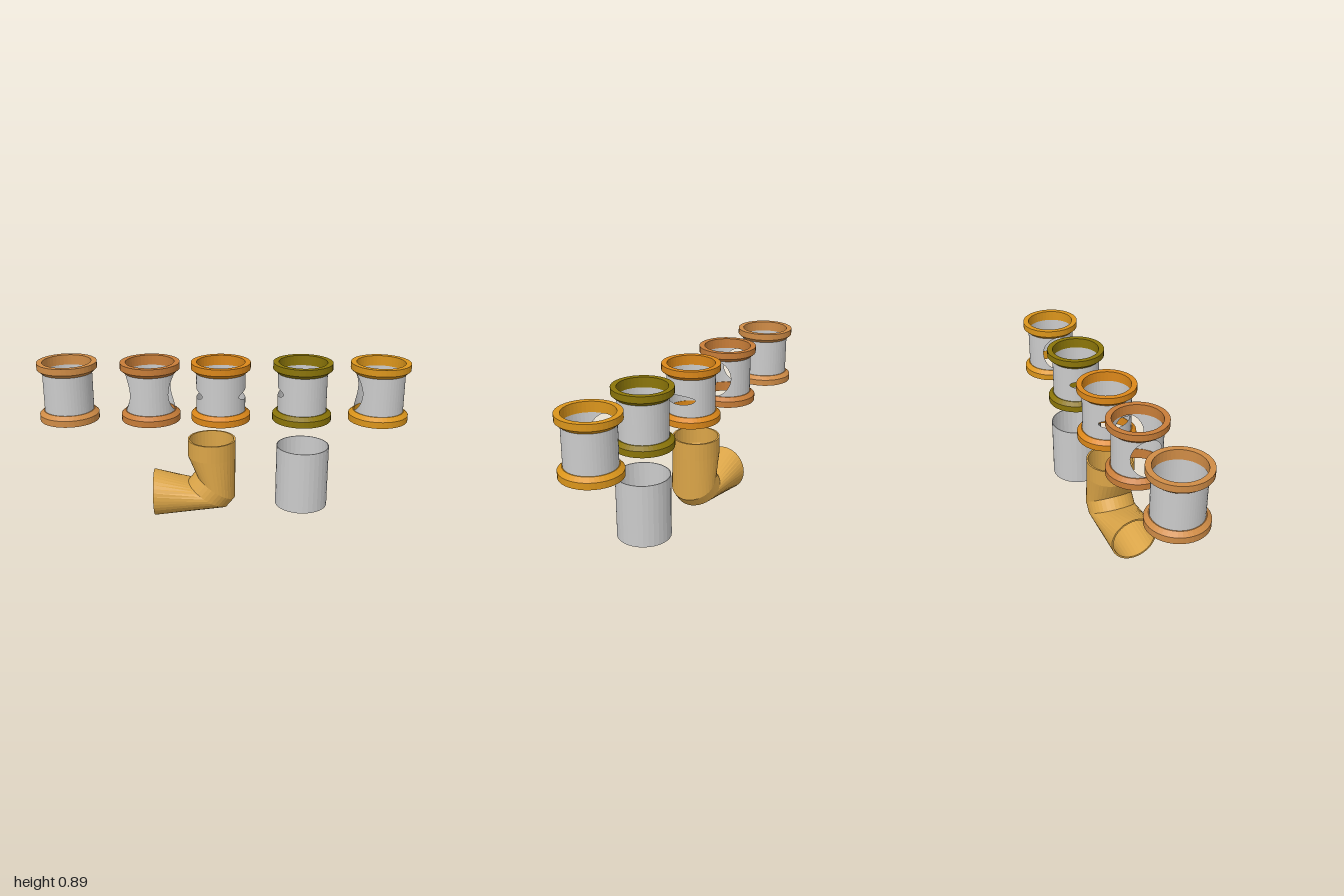
import * as THREE from 'three';

const mat = (color) => new THREE.MeshStandardMaterial({ color, flatShading: true, side: THREE.DoubleSide });
const grey = mat(0xcccccc);

function addMesh(parent, name, geometry, material) {
  const mesh = new THREE.Mesh(geometry, material);
  mesh.name = name;
  parent.add(mesh);
  return mesh;
}

// Closed [radius, height] outline turned around the y axis
function turned(profile, sides = 40) {
  const pts = [...profile, profile[0]].map(([r, y]) => new THREE.Vector2(r, y));
  return new THREE.LatheGeometry(pts, sides);
}

function meshFrom(positions, index) {
  const g = new THREE.BufferGeometry();
  g.setAttribute('position', new THREE.Float32BufferAttribute(positions, 3));
  g.setIndex(index);
  g.computeVertexNormals();
  return g;
}

// Thin tube with an optional oval opening on its +x and -x sides.
// An opening is { w: half width, h: half height, y: centre }.
function sleeve(r, y0, y1, openings) {
  const pos = [], idx = [], steps = 16;
  openings.forEach((o, side) => {
    const w = o ? o.w : r * 0.7, mid = o ? o.y : (y0 + y1) / 2;
    const edge = Math.asin(w / r);
    const cols = [];
    for (let i = 0; i <= steps; i++) {
      const u = (i / steps - 0.5) * Math.PI;
      cols.push([o ? Math.asin(w / r * Math.sin(u)) : edge * (2 * i / steps - 1), o ? o.h * Math.cos(u) : 0]);
    }
    // plain wall up to the front or back centre line
    for (let i = 1; i <= 6; i++) {
      const a = edge + (Math.PI / 2 - edge) * i / 6;
      cols.push([a, 0]);
      cols.unshift([-a, 0]);
    }
    cols.forEach(([a, h], i) => {
      const t = a + side * Math.PI, x = r * Math.cos(t), z = r * Math.sin(t);
      const n = pos.length / 3;
      for (const y of [y0, mid - h, mid + h, y1]) pos.push(x, y, z);
      if (i < cols.length - 1) {
        for (const k of [n, n + 2]) idx.push(k, k + 1, k + 4, k + 1, k + 5, k + 4);
      }
    });
  });
  return meshFrom(pos, idx);
}

// Hollow bent pipe lofted through circles: [centre x, centre y, tilt in degrees]
function bentPipe(stations, outer, inner, sides = 36) {
  const rings = [
    ...stations.map((s) => [...s, outer]),
    ...[...stations].reverse().map((s) => [...s, inner]),
  ];
  const pos = [], idx = [];
  rings.forEach(([cx, cy, deg, r], i) => {
    const tilt = THREE.MathUtils.degToRad(deg);
    const next = (i + 1) % rings.length;
    for (let j = 0; j < sides; j++) {
      const t = j / sides * Math.PI * 2, c = r * Math.cos(t);
      pos.push(cx + c * Math.cos(tilt), cy + c * Math.sin(tilt), r * Math.sin(t));
      const k = (j + 1) % sides;
      const a = i * sides + j, b = i * sides + k, d = next * sides + j, e = next * sides + k;
      idx.push(a, b, d, b, e, d);
    }
  });
  return meshFrom(pos, idx);
}

export function createModel() {
  const model = new THREE.Group();
  model.name = 'pipeFittings';

  // Flanged couplings, in a row along x; openings are listed as [+x side, -x side]
  const big = { w: 0.085, h: 0.104, y: 0.737 };
  const slit = { w: 0.09, h: 0.026, y: 0.725 };
  const couplings = [
    { name: 'plainCoupling', x: -0.84, color: 0xd08c46, openings: [null, null] },
    { name: 'crossCoupling', x: -0.395, color: 0xc87d38, openings: [big, big] },
    { name: 'slottedCoupling', x: -0.015, color: 0xdb8719, openings: [slit, slit] },
    { name: 'singleSlotCoupling', x: 0.425, color: 0x8b7508, openings: [null, { w: 0.08, h: 0.024, y: 0.735 }] },
    { name: 'teeCoupling', x: 0.84, color: 0xdb951b, openings: [null, big] },
  ];
  const flange = turned([[0.13, -0.16], [0.16, -0.16], [0.16, -0.125], [0.137, -0.105], [0.13, -0.105]]);
  for (const { name, x, color, openings } of couplings) {
    const group = new THREE.Group();
    group.name = name;
    group.position.x = x;
    model.add(group);
    addMesh(group, 'sleeve', sleeve(0.1325, 0.59, 0.88, openings), grey);
    const paint = mat(color);
    addMesh(group, 'lowerFlange', flange, paint).position.y = 0.736;
    const upper = addMesh(group, 'upperFlange', flange, paint);
    upper.position.y = 0.736;
    upper.rotation.x = Math.PI;
  }

  // Elbow pipe with a sharp two-step bend
  const stations = [
    [-0.066, 0.457, 0], [-0.066, 0.36, 0], [-0.045, 0.185, -34],
    [-0.0875, 0.132, -33], [-0.388, 0.133, -89],
  ];
  addMesh(model, 'elbowPipe', bentPipe(stations, 0.132, 0.122), mat(0xdba548));

  // Straight open pipe
  const pipe = addMesh(model, 'straightPipe',
    turned([[0.141, 0.07], [0.145, 0.07], [0.145, 0.42], [0.141, 0.42]], 32), grey);
  pipe.position.x = 0.4375;

  return model;
}
